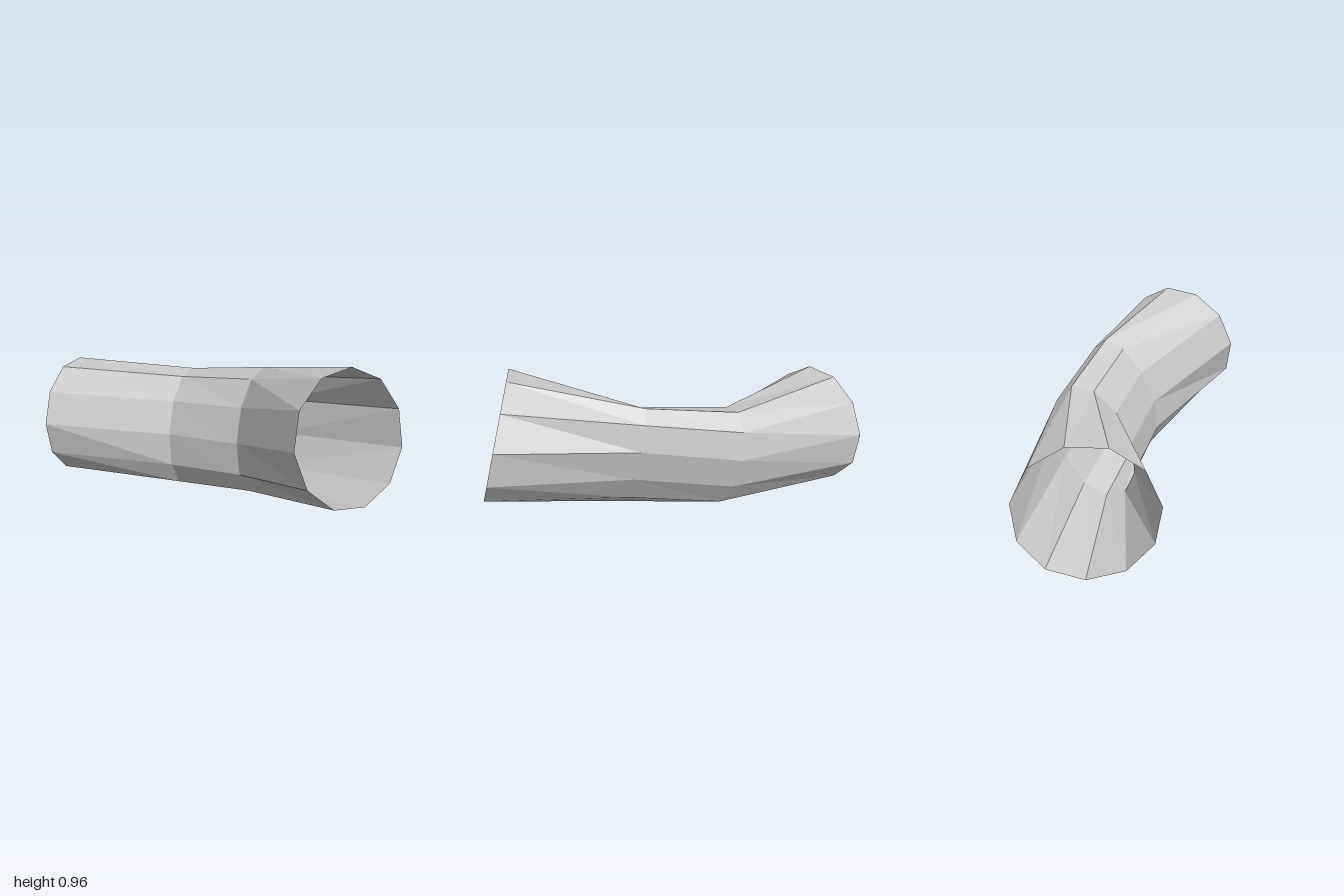
import * as THREE from 'three';

const SIDES = 11;

// Oval stations along the bent tube: centre, sideways axis, upward axis
const STATIONS = [
  { c: [-0.945, 0.337, -0.36], u: [-0.057, 0.04, 0.33], v: [-0.006, 0.333, -0.04] },
  { c: [-0.204, 0.365, -0.234], u: [-0.064, 0.01, 0.182], v: [-0.01, 0.318, -0.088] },
  { c: [0.25, 0.473, -0.002], u: [-0.091, -0.033, 0.149], v: [-0.015, 0.313, -0.091] },
  { c: [0.765, 0.636, 0.436], u: [-0.23, 0.014, 0.252], v: [-0.055, 0.328, -0.066] },
];

// Skins the stations with a faceted wall, open at both ends
function loftTube(stations, sides) {
  const positions = [];
  const index = [];
  stations.forEach(({ c, u, v }, i) => {
    for (let j = 0; j < sides; j++) {
      const angle = (j / sides) * Math.PI * 2;
      for (let k = 0; k < 3; k++) {
        positions.push(c[k] + u[k] * Math.cos(angle) + v[k] * Math.sin(angle));
      }
      if (i === stations.length - 1) continue;
      const next = (j + 1) % sides;
      const a = i * sides + j;
      const b = a + sides;
      const e = i * sides + next;
      const d = e + sides;
      index.push(a, b, e, b, d, e);
    }
  });
  const geometry = new THREE.BufferGeometry();
  geometry.setAttribute('position', new THREE.Float32BufferAttribute(positions, 3));
  geometry.setIndex(index);
  geometry.computeVertexNormals();
  return geometry;
}

export function createModel() {
  const group = new THREE.Group();
  group.name = 'bentSleeve';

  // Thin open wall, seen from inside and outside
  const material = new THREE.MeshStandardMaterial({
    color: 0xcccccc,
    flatShading: true,
    side: THREE.DoubleSide,
  });
  const tube = new THREE.Mesh(loftTube(STATIONS, SIDES), material);
  tube.name = 'tubeWall';
  group.add(tube);
  return group;
}
